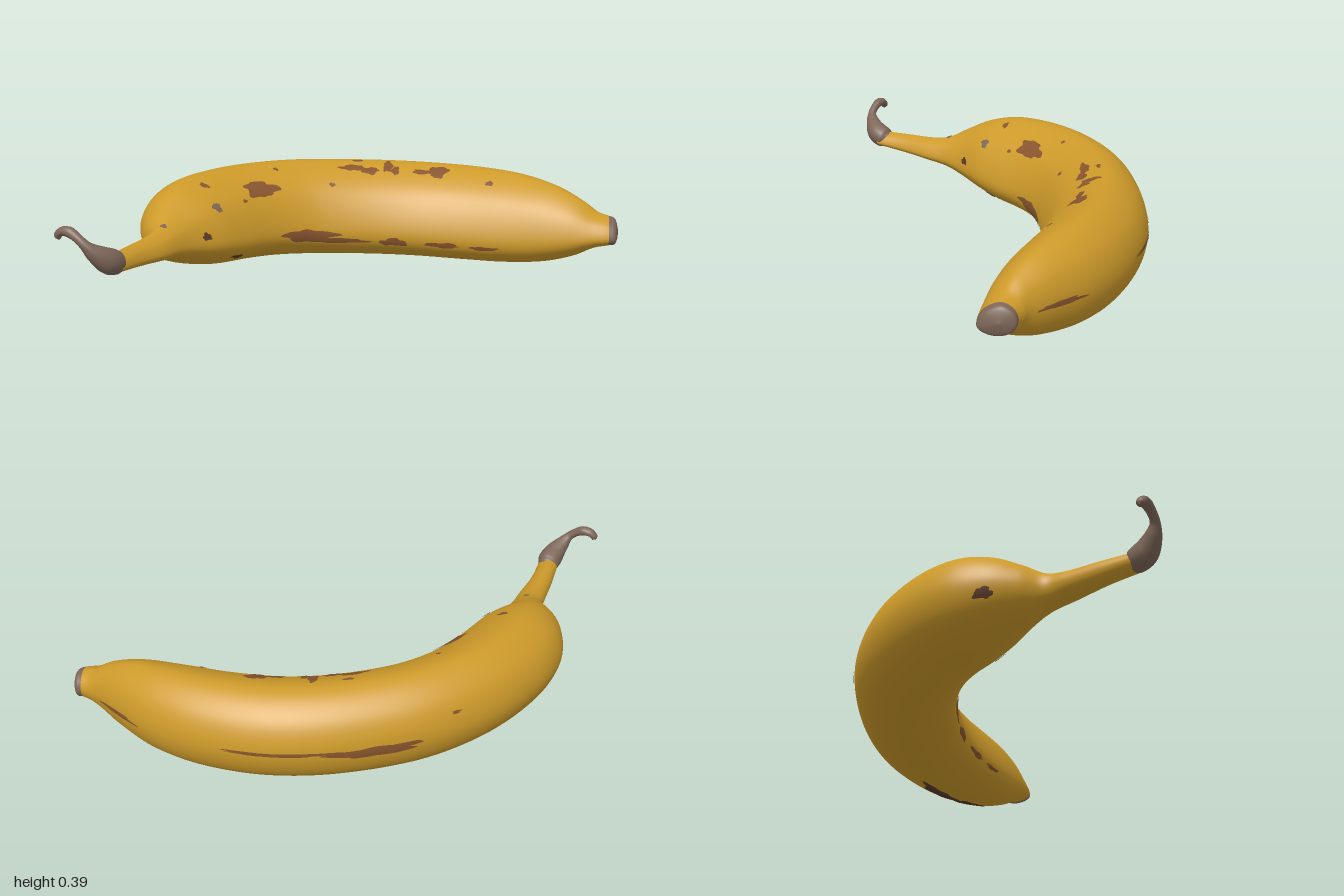
import * as THREE from 'three';

// Stations from stem to tip: outer edge x,z, inner edge x,z, bottom y, top y
const STATIONS = [
  [-.85, .49, -.78, .52, .205, .262], [-.81, .38, -.73, .41, .19, .262],
  [-.76, .26, -.66, .30, .175, .265], [-.735, .19, -.61, .215, .16, .28],
  [-.765, .11, -.55, .15, .13, .315], [-.78, 0, -.46, .08, .095, .36],
  [-.755, -.13, -.39, .01, .065, .385], [-.66, -.27, -.30, -.08, .05, .392],
  [-.48, -.42, -.21, -.14, .038, .391], [-.24, -.53, -.10, -.18, .024, .385],
  [.06, -.58, .06, -.20, .012, .373], [.32, -.567, .22, -.195, .004, .364],
  [.55, -.495, .38, -.165, 0, .357], [.72, -.395, .53, -.12, .006, .345],
  [.84, -.28, .66, -.08, .028, .318], [.91, -.20, .78, -.05, .064, .275],
  [.945, -.175, .88, -.035, .1, .235], [.972, -.16, .95, -.03, .113, .22],
  [.993, -.15, .98, -.04, .12, .208], [1, -.1, 1, -.1, .163, .163],
];
// Rounded, ridged cross-section: 0..1 from outer to inner edge, 0..1 from bottom to top
const SECTION = [[.42, 1], [.11, .83], [0, .48], [.14, .14], [.5, 0], [.86, .1], [1, .33], [.82, .77]];

// Smooth interpolation through rows of numbers
function spline(rows, s, closed) {
  const n = rows.length;
  const i = closed ? Math.floor(s) : Math.min(Math.floor(s), n - 2);
  const f = s - i;
  const row = (k) => rows[closed ? (k + n) % n : THREE.MathUtils.clamp(k, 0, n - 1)];
  const [a, b, c, d] = [row(i - 1), row(i), row(i + 1), row(i + 2)];
  return b.map((_, k) => {
    const m0 = (c[k] - a[k]) / 2, m1 = (d[k] - b[k]) / 2;
    const e = c[k] - b[k];
    return b[k] + f * (m0 + f * (3 * e - 2 * m0 - m1 + f * (m0 + m1 - 2 * e)));
  });
}

// Point on the skin: s is the station, t runs 0..8 around the section
function skin(s, t) {
  const [ox, oz, ix, iz, y0, y1] = spline(STATIONS, s, false);
  const [u, v] = spline(SECTION, ((t % 8) + 8) % 8, true);
  return new THREE.Vector3(ox + (ix - ox) * u, y0 + (y1 - y0) * v, oz + (iz - oz) * u);
}

function raisedSkin(s, t, h) {
  const p = skin(s, t);
  const ds = skin(s + .02, t).sub(skin(s - .02, t));
  const dt = skin(s, t + .02).sub(skin(s, t - .02));
  return p.addScaledVector(ds.cross(dt).normalize(), h);
}

// Surface of rings: fn(u, v) with u along 0..1 and v around 0..1
function loft(fn, nu, nv) {
  const pos = [], index = [];
  for (let i = 0; i <= nu; i++) {
    for (let j = 0; j < nv; j++) {
      pos.push(...fn(i / nu, j / nv).toArray());
      if (i === nu) continue;
      const a = i * nv + j, b = i * nv + (j + 1) % nv;
      index.push(a, a + nv, b, b, a + nv, b + nv);
    }
  }
  const g = new THREE.BufferGeometry();
  g.setAttribute('position', new THREE.Float32BufferAttribute(pos, 3));
  g.setIndex(index);
  g.computeVertexNormals();
  return g;
}

// Tapered tube through points [x, y, z, radius]
function taperedTube(points, nu, nv) {
  const curve = new THREE.CatmullRomCurve3(points.map((p) => new THREE.Vector3(p[0], p[1], p[2])));
  const frames = curve.computeFrenetFrames(nu, false);
  return loft((u, v) => {
    const k = Math.round(u * nu), a = v * Math.PI * 2;
    const r = Math.max(0, spline(points, u * (points.length - 1), false)[3]);
    return curve.getPoint(u).addScaledVector(frames.normals[k], r * Math.cos(a))
      .addScaledVector(frames.binormals[k], -r * Math.sin(a));
  }, nu, nv);
}

// Blemishes by colour: station, t around, half length, half width
const BROWN_SPOTS = [
  [8.35, 5.9, 1.0, .24], [9.3, 5.75, .75, .12], [10.6, 5.75, .38, .17], [11.75, 5.75, .45, .12],
  [12.75, 5.72, .4, .09], [7.3, 7.1, .6, .24], [9.75, 7.6, .25, .11], [10.05, 7.52, .2, .12],
  [9.85, 7.9, .1, .06], [10.4, 7.7, .1, .24], [10.55, 7.55, .09, .15], [11.4, 7.6, .2, .22],
  [11.1, 7.55, .25, .08], [12.55, 7.4, .1, .08], [5.9, 7.6, .12, .12], [14, 1.98, .8, .1],
  [9.6, 1.97, .6, .17], [10.75, 1.88, 1.0, .06], [8.2, 7.6, .06, .06], [9.3, 7.1, .07, .06],
  [6.5, 6.9, .08, .05], [8.6, 1.4, .07, .05],
];
const DARK_SPOTS = [
  [12.3, 3.7, .75, .26], [13.4, 3.75, .65, .26], [4.3, 6.35, .18, .15],
  [5.8, 5.25, .3, .14], [5, 2.45, .3, .2],
];
const GREY_SPOTS = [[5.3, 7, .2, .16], [3, 7.9, .15, .25]];

export function createModel() {
  const group = new THREE.Group();
  group.name = 'banana';
  const material = (name, color) => {
    const m = new THREE.MeshStandardMaterial({ color });
    m.name = name;
    return m;
  };
  const peel = material('yellowPeel', 0xcd9a2a);
  const dry = material('driedStem', 0x7d6658);
  const brown = material('brownSpot', 0x87552e);
  const dark = material('darkSpot', 0x5e3a28);
  const add = (name, geometry, mat, parent = group) => {
    const mesh = new THREE.Mesh(geometry, mat);
    mesh.name = name;
    parent.add(mesh);
  };

  // Peel with its stem, and the dry blossom end
  add('peel', loft((u, v) => skin(u * 17, v * 8), 136, 64), peel);
  add('blossomTip', loft((u, v) => skin(17 + u * 2, v * 8), 12, 64), dry);

  // Dry crown where the stem was torn off, ending in a curled strip
  add('stemCrown', taperedTube([
    [-.795, .234, .465, .022], [-.808, .237, .488, .041], [-.828, .25, .518, .044],
    [-.85, .27, .537, .037], [-.875, .292, .55, .027], [-.895, .315, .556, .018],
    [-.92, .338, .548, .016], [-.95, .355, .532, .019], [-.975, .352, .52, .018],
    [-.99, .336, .513, .014], [-.996, .326, .51, 0],
  ], 60, 14), dry);

  // Irregular blemishes lying just above the peel
  const spots = new THREE.Group();
  spots.name = 'blemishes';
  group.add(spots);
  const addSpots = (list, mat) => list.forEach(([s, t, ls, lt], k) => {
    const edge = (a) => .88 + .12 * Math.sin(3 * a + k * 1.7) + .1 * Math.sin(5 * a + k * 2.9)
      + .06 * Math.sin(9 * a + k);
    add('blemish', loft((u, v) => {
      const a = v * Math.PI * 2, r = u * edge(a);
      return raisedSkin(s + ls * r * Math.cos(a), t + lt * r * Math.sin(a), .003);
    }, 6, 32), mat, spots);
  });
  addSpots(BROWN_SPOTS, brown);
  addSpots(DARK_SPOTS, dark);
  addSpots(GREY_SPOTS, dry);
  return group;
}
